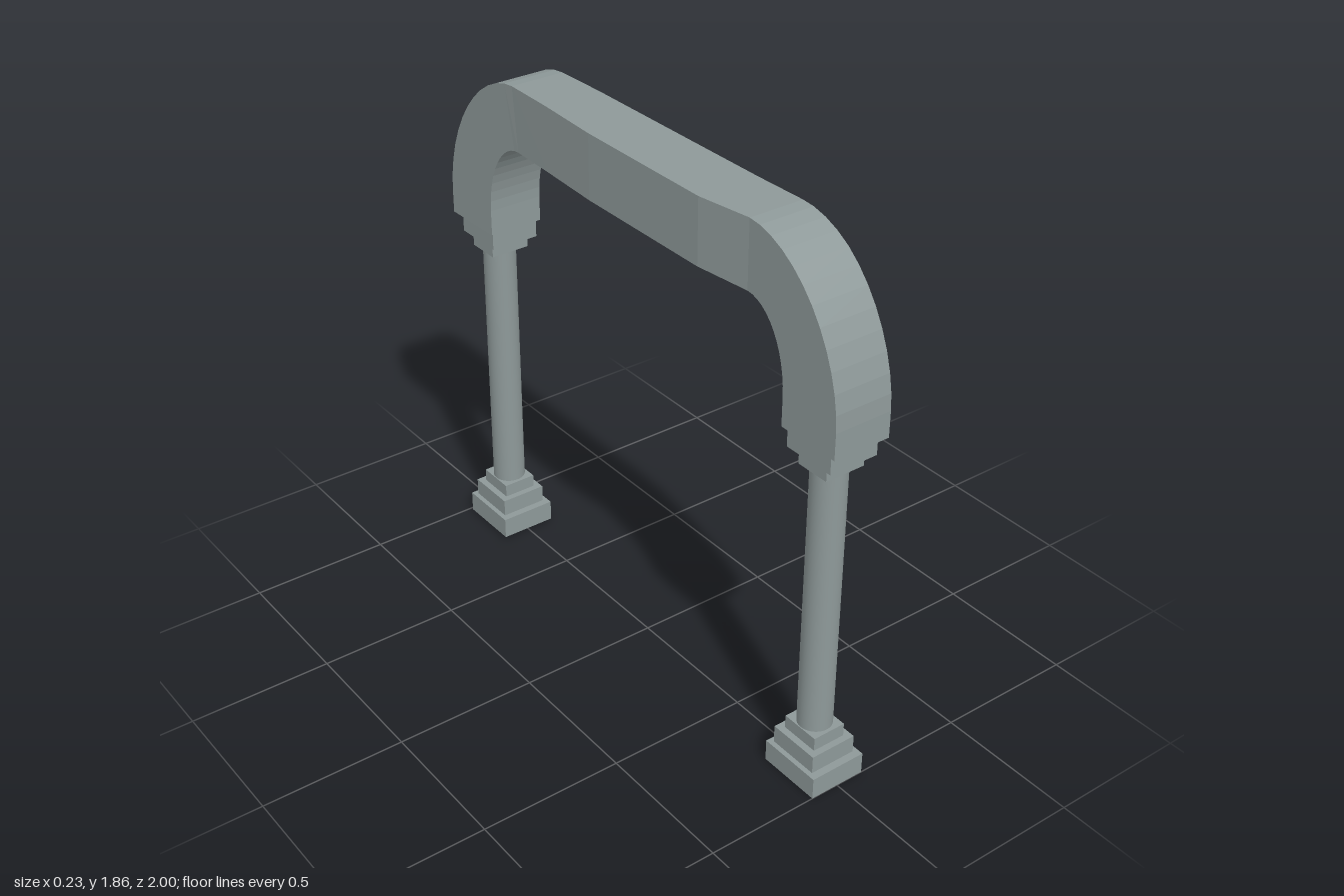
import * as THREE from 'three';

const stone = new THREE.MeshStandardMaterial({ color: 0x8e9999 });
stone.name = 'greyStone';

// Piecewise-linear lookup through [position, value] pairs
function along(table, t) {
  for (let i = 1; i < table.length; i++) {
    const [a, va] = table[i - 1], [b, vb] = table[i];
    if (t <= b) return va + (vb - va) * Math.max(0, (t - a) / (b - a));
  }
  return table[table.length - 1][1];
}

// Slightly wavy sides of the arch, by depth
const rightSide = [[-1, -0.1], [-0.6, -0.09], [-0.15, -0.115], [0.4, -0.12], [0.6, -0.095], [1, -0.095]];
const leftSide = [[-1, 0.1], [-0.6, 0.107], [0, 0.103], [0.6, 0.1], [0.8, 0.11], [1, 0.112]];

// Rounded elbow point; a runs from 0 (leg end) to PI/2 (beam end)
function elbow(a, cz, cy, rz, ry, n) {
  return [cz + rz * Math.cos(a) ** (2 / n), cy + ry * Math.sin(a) ** (2 / n)];
}

function archGeometry() {
  // Each section is an [outer, inner] pair of [z, y] points
  const steps = 12;
  const front = [[[1, 1.26], [0.77, 1.26]]];
  const back = [[[-1, 1.26], [-0.765, 1.26]]];
  for (let i = 0; i <= steps; i++) {
    const a = Math.min(i / steps * Math.PI / 2, Math.PI / 2 - 1e-6);
    front.push([elbow(a, 0.6, 1.35, 0.4, 0.51, 1.85), elbow(a, 0.6, 1.36, 0.17, 0.27, 2)]);
    const [o, n] = [elbow(a, 0.61, 1.35, 0.39, 0.503, 1.85), elbow(a, 0.585, 1.35, 0.18, 0.28, 2)];
    back.push([[-o[0], o[1]], [-n[0], n[1]]]);
  }
  const beam = [0.4, 0.1, -0.15, -0.4].map(z => [[z, 1.857], [z, 1.632]]);
  const rings = [...front, ...beam, ...back.reverse()].map(([o, n]) => {
    const corner = (p, side) => [along(side, p[0]), p[1], p[0]];
    return [corner(o, rightSide), corner(o, leftSide), corner(n, leftSide), corner(n, rightSide)];
  });

  // Skin the sections with flat facets and close both ends
  const pos = [];
  const quad = (a, b, c, d) => pos.push(...a, ...b, ...c, ...a, ...c, ...d);
  for (let i = 0; i < rings.length - 1; i++) {
    for (let k = 0; k < 4; k++) {
      const j = (k + 1) % 4;
      quad(rings[i][k], rings[i][j], rings[i + 1][j], rings[i + 1][k]);
    }
  }
  const s = rings[0], e = rings[rings.length - 1];
  quad(s[0], s[3], s[2], s[1]);
  quad(e[0], e[1], e[2], e[3]);
  const g = new THREE.BufferGeometry();
  g.setAttribute('position', new THREE.Float32BufferAttribute(pos, 3));
  g.computeVertexNormals();
  return g;
}

function add(parent, name, geometry, x = 0, y = 0, z = 0) {
  const mesh = new THREE.Mesh(geometry, stone);
  mesh.name = name;
  mesh.position.set(x, y, z);
  parent.add(mesh);
}

// Square step from y0 to y1
function step(parent, name, y0, y1, width, depth, x = 0, z = 0) {
  add(parent, name, new THREE.BoxGeometry(width, y1 - y0, depth), x, (y0 + y1) / 2, z);
}

// Column with stepped base and capital
function makeColumn(name, z, lift, baseShift) {
  const g = new THREE.Group();
  g.name = name;
  g.position.z = z;
  step(g, 'plinth', lift, 0.077 + lift, 0.205, 0.23, 0, baseShift);
  step(g, 'baseMiddleStep', 0.077 + lift, 0.14 + lift, 0.17, 0.186);
  step(g, 'baseTopStep', 0.14 + lift, 0.187 + lift, 0.122, 0.14);
  add(g, 'shaft', new THREE.CylinderGeometry(0.058, 0.058, 0.98, 32, 1, true), 0, 0.667, 0);
  step(g, 'capitalLowerStep', 1.147, 1.195, 0.145, 0.122, 0.006);
  step(g, 'capitalUpperStep', 1.195, 1.262, 0.178, 0.19, 0.005);
  return g;
}

export function createModel() {
  const model = new THREE.Group();
  model.name = 'archway';
  add(model, 'arch', archGeometry());
  model.add(makeColumn('frontColumn', 0.88, 0, 0.005));
  model.add(makeColumn('backColumn', -0.872, 0.006, 0.005));
  return model;
}
